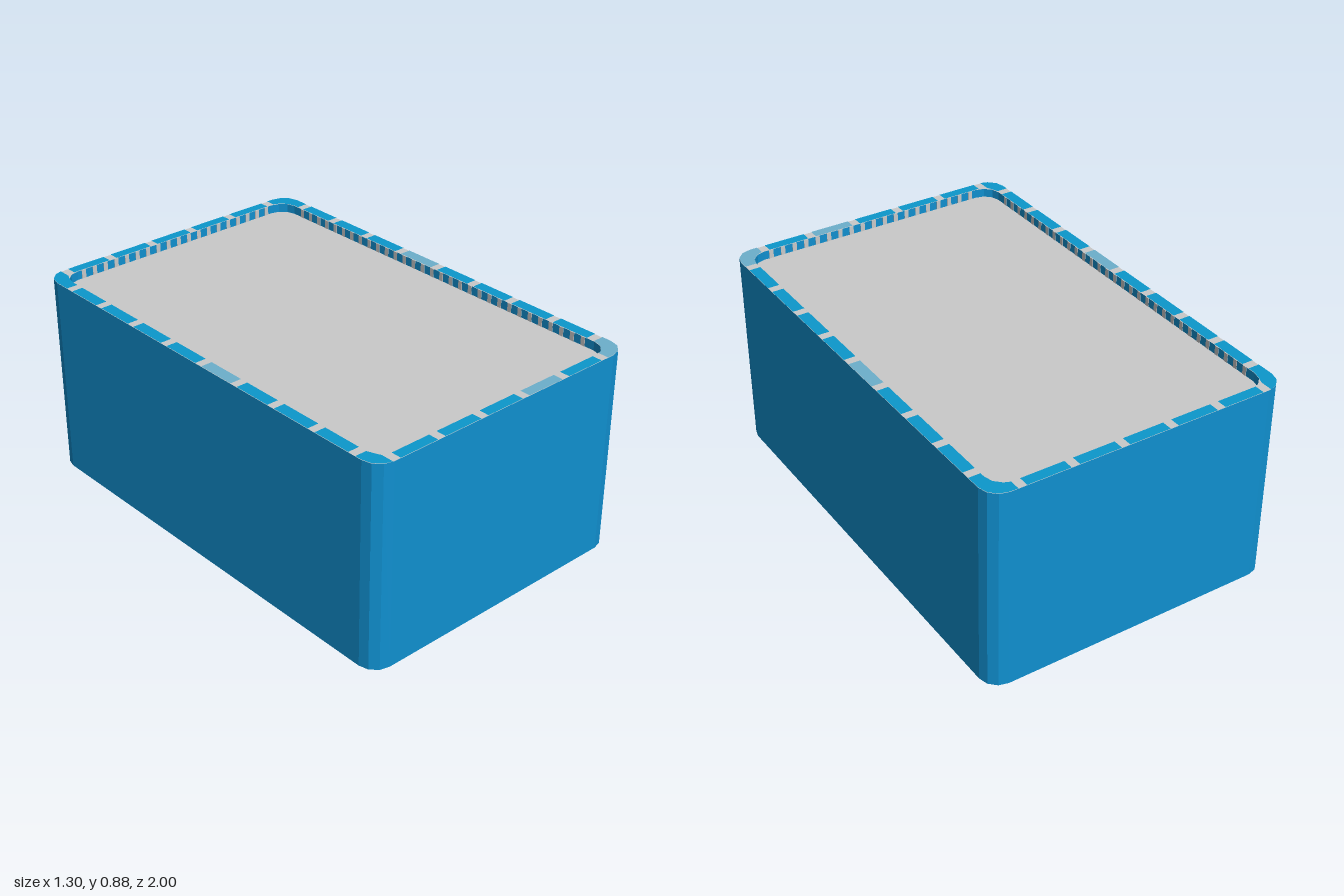
import * as THREE from 'three';

const HX = 0.65, HZ = 1, H = 0.885, R = 0.08; // outer half sizes, height, corner radius
const IX = 0.6, IZ = 0.955, IR = 0.075;       // inner edge of the rim
const FLOOR = 0.845, LIFT = 0.002;

const mat = (name, color) => {
  const m = new THREE.MeshStandardMaterial({ color });
  m.name = name;
  return m;
};

// quarter arc around the corner with signs sx, sz, from the z side to the x side
function arc(hx, hz, r, sx, sz) {
  const pts = [];
  for (let i = 0; i <= 3; i++) {
    const a = (i / 3) * Math.PI / 2;
    pts.push([sx * (hx - r + r * Math.sin(a)), sz * (hz - r + r * Math.cos(a))]);
  }
  return pts;
}

// rounded rectangle as [x, z] points
const outline = (hx, hz, r) => [
  ...arc(hx, hz, r, 1, 1), ...arc(hx, hz, r, 1, -1).reverse(),
  ...arc(hx, hz, r, -1, -1), ...arc(hx, hz, r, -1, 1).reverse(),
];

// keep the part of a convex polygon where sign * p[axis] <= sign * limit
function clip(pts, axis, limit, sign) {
  const out = [];
  pts.forEach((p, i) => {
    const q = pts[(i + 1) % pts.length];
    const dp = sign * (limit - p[axis]), dq = sign * (limit - q[axis]);
    if (dp >= 0) out.push(p);
    if (dp * dq < 0) {
      const t = dp / (dp - dq);
      out.push([p[0] + (q[0] - p[0]) * t, p[1] + (q[1] - p[1]) * t]);
    }
  });
  return out;
}

const toVecs = (pts, s) => pts.map(([x, z]) => new THREE.Vector2(x, s * z));

// flat plate facing up or down
function plate(pts, y, up) {
  const g = new THREE.ShapeGeometry(new THREE.Shape(toVecs(pts, up ? -1 : 1)));
  g.rotateX(up ? -Math.PI / 2 : Math.PI / 2);
  return g.translate(0, y, 0);
}

// upright prism from y0 to y1
function prism(pts, hole, y0, y1) {
  const s = new THREE.Shape(toVecs(pts, -1));
  if (hole) s.holes.push(new THREE.Path(toVecs(hole, -1)));
  const g = new THREE.ExtrudeGeometry(s, { depth: y1 - y0, bevelEnabled: false });
  return g.rotateX(-Math.PI / 2).translate(0, y0, 0);
}

export function createModel() {
  const model = new THREE.Group();
  const wall = mat('wall blue', 0x1090d0);
  const tile = mat('tile blue', 0x0c98cc);
  const pale = mat('pale tile', 0x6cb0cc);
  const grout = mat('grout grey', 0xcacaca);
  const add = (name, geo, m, parent = model) => {
    const mesh = new THREE.Mesh(geo, m);
    mesh.name = name;
    parent.add(mesh);
    return mesh;
  };
  const group = (name) => {
    const g = new THREE.Group();
    g.name = name;
    model.add(g);
    return g;
  };

  // body with the grey surface as its top, and the raised rim
  const outer = outline(HX, HZ, R);
  add('body', prism(outer, null, LIFT, FLOOR), [grout, wall]);
  add('rim', prism(outer, outline(IX, IZ, IR), FLOOR, H - LIFT), [grout, wall]);

  // straight rim tiles between grout joints
  const rimTiles = group('rimTiles');
  const gap = 0.018;
  const xs = [-0.56, -0.345, -0.13, 0.085, 0.3, 0.52];
  const zRight = [-0.84, -0.635, -0.42, -0.205, 0.01, 0.22, 0.43, 0.65, 0.86];
  const zLeft = zRight.map((z) => z + 0.012);
  const rect = (x0, x1, z0, z1) => [[x0, z0], [x1, z0], [x1, z1], [x0, z1]];
  const rimTile = (pts, isPale) => add('rimTile', plate(pts, H, true), isPale ? pale : tile, rimTiles);
  for (let i = 0; i < xs.length - 1; i++) {
    const a = xs[i] + gap, b = xs[i + 1] - gap;
    rimTile(rect(a, b, IZ, HZ), i === 3);
    rimTile(rect(a, b, -HZ, -IZ), false);
  }
  for (let i = 0; i < zRight.length - 1; i++) {
    rimTile(rect(IX, HX, zRight[i] + gap, zRight[i + 1] - gap), i === 3);
    rimTile(rect(-HX, -IX, zLeft[i] + gap, zLeft[i + 1] - gap), i === 4);
  }

  // rounded corner tiles
  for (const sx of [1, -1]) for (const sz of [1, -1]) {
    const zs = sx > 0 ? zRight : zLeft;
    const x0 = Math.abs(sx > 0 ? xs[5] : xs[0]) + gap;
    const z0 = Math.abs(sz > 0 ? zs[8] : zs[0]) + gap;
    const inner = arc(IX, IZ, IR, 1, 1).map(([x, z]) => [Math.max(x, x0), Math.max(z, z0)]);
    const pts = [
      [x0, HZ], ...arc(HX, HZ, R, 1, 1), [HX, z0], [IX, z0],
      ...inner.reverse(), [x0, IZ],
    ].map(([x, z]) => [Math.max(x, x0) * sx, Math.max(z, z0) * sz]);
    const clean = pts.filter((p, i) => {
      const q = pts[(i + 1) % pts.length];
      return Math.hypot(p[0] - q[0], p[1] - q[1]) > 1e-5;
    });
    rimTile(clean, sx > 0 && sz > 0);
  }

  // narrow joints on the inside of the rim
  const joints = group('innerJoints');
  const jointH = H - LIFT - FLOOR;
  const joint = (x, z, w, d) => {
    const m = add('joint', new THREE.BoxGeometry(w, jointH, d), grout, joints);
    m.position.set(x, FLOOR + jointH / 2, z);
  };
  for (const s of [1, -1]) {
    for (let i = -9; i <= 9; i++) joint(i * 0.055, s * IZ, 0.02, 0.004);
    for (let i = -15; i <= 15; i++) joint(s * IX, i * 0.055, 0.004, 0.02);
  }

  // underside: large tiles cut to the rounded outline
  add('underside', plate(outer, LIFT, false), grout);
  const baseTiles = group('undersideTiles');
  for (let i = 0; i < 4; i++) for (let j = 0; j < 4; j++) {
    const x = 0.62 - i * 0.35, z = -1.01 + j * 0.535;
    let pts = outer;
    pts = clip(pts, 0, x + 0.148, 1);
    pts = clip(pts, 0, x - 0.148, -1);
    pts = clip(pts, 1, z + 0.235, 1);
    pts = clip(pts, 1, z - 0.235, -1);
    if (pts.length < 3) continue;
    const isPale = (i === 1 && j === 1) || (i === 2 && j === 3);
    add('undersideTile', plate(pts, 0, false), isPale ? pale : tile, baseTiles);
  }
  return model;
}
